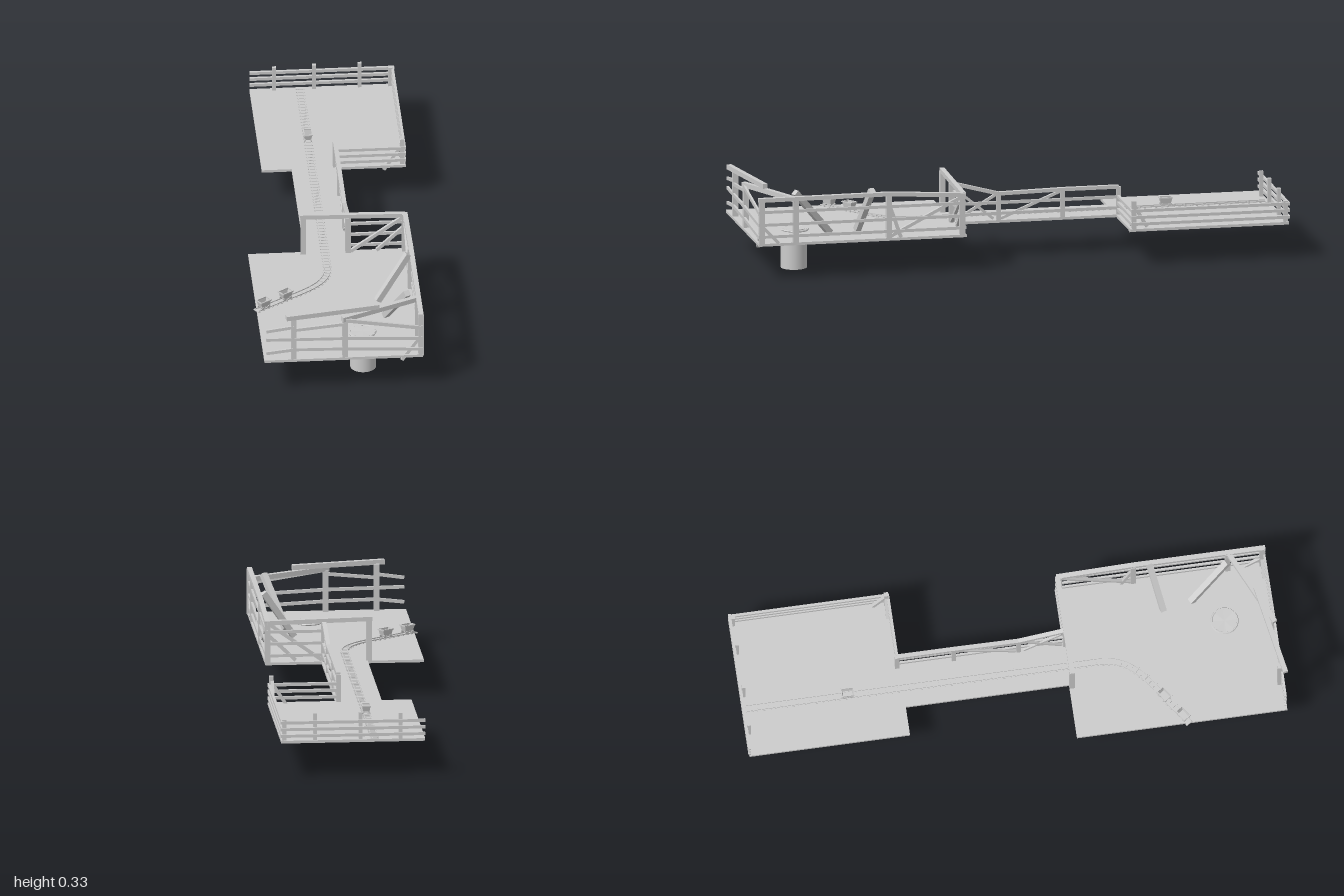
import * as THREE from 'three';

const material = new THREE.MeshStandardMaterial({ color: 0xcccccc, flatShading: true, side: THREE.DoubleSide });
const smooth = new THREE.MeshStandardMaterial({ color: 0xcccccc });
const V = (p) => new THREE.Vector3(...p);

function add(parent, name, geometry, position = [0, 0, 0], mat = material) {
  const mesh = new THREE.Mesh(geometry, mat);
  mesh.name = name;
  mesh.position.set(...position);
  parent.add(mesh);
  return mesh;
}

// Square timber between two points
function beam(parent, name, a, b, w = 0.012, h = w) {
  const p = V(a), q = V(b);
  const mesh = add(parent, name, new THREE.BoxGeometry(w, h, p.distanceTo(q)));
  mesh.position.copy(p).add(q).multiplyScalar(0.5);
  mesh.lookAt(q);
  return mesh;
}

function post(parent, x, z, top, w = 0.02) {
  add(parent, 'post', new THREE.BoxGeometry(w, top - 0.135, w), [x, (top + 0.135) / 2, z]);
}

function group(parent, name) {
  const g = new THREE.Group();
  g.name = name;
  parent.add(g);
  return g;
}

// Flared open tub on four wheels, long axis along z
function mineCart(parent, x, z, turn) {
  const g = group(parent, 'cart');
  g.position.set(x, 0.142, z);
  g.rotation.y = turn;
  const tub = new THREE.BoxGeometry(0.03, 0.022, 0.046);
  const p = tub.attributes.position;
  for (let i = 0; i < p.count; i++) {
    if (p.getY(i) < 0) p.setXYZ(i, p.getX(i) * 0.75, p.getY(i), p.getZ(i) * 0.75);
  }
  const faces = tub.index.array;
  tub.setIndex([...faces.slice(0, 12), ...faces.slice(18)]); // open top
  add(g, 'tub', tub, [0, 0.021, 0]);
  for (const s of [-1, 1]) {
    add(g, 'rim', new THREE.BoxGeometry(0.004, 0.004, 0.05), [s * 0.015, 0.032, 0]);
    add(g, 'rim', new THREE.BoxGeometry(0.034, 0.004, 0.004), [0, 0.032, s * 0.023]);
    add(g, 'chassis', new THREE.BoxGeometry(0.004, 0.005, 0.042), [s * 0.01, 0.009, 0]);
    for (const e of [-1, 1]) {
      add(g, 'wheel', new THREE.CylinderGeometry(0.006, 0.006, 0.004, 12), [s * 0.012, 0.006, e * 0.013])
        .rotation.z = Math.PI / 2;
    }
  }
}

export function createModel() {
  const model = new THREE.Group();
  model.name = 'minePlatform';

  // Decks: [x0, x1, z0, z1]
  const decks = { backDeck: [-0.215, 0.315, -0.995, -0.4], bridgeDeck: [-0.105, 0.065, -0.4, 0.205], frontDeck: [-0.312, 0.272, 0.205, 0.985] };
  for (const [name, [x0, x1, z0, z1]] of Object.entries(decks)) {
    add(model, name, new THREE.BoxGeometry(x1 - x0, 0.01, z1 - z0), [(x0 + x1) / 2, 0.135, (z0 + z1) / 2]);
  }

  // Shaft under the front deck, with a broken round cover
  add(model, 'shaft', new THREE.CylinderGeometry(0.048, 0.048, 0.13, 32), [0.065, 0.065, 0.81], smooth);
  const cover = group(model, 'shaftCover');
  cover.position.set(0.062, 0.143, 0.805);
  add(cover, 'coverRim', new THREE.TorusGeometry(0.048, 0.004, 6, 24)).rotation.x = Math.PI / 2;
  for (let i = 0; i < 8; i++) {
    const wedge = add(cover, 'coverBoard', new THREE.CylinderGeometry(0.046, 0.046, 0.003, 4, 1, false, i * Math.PI / 4, 0.66));
    wedge.position.y = 0.001 + 0.002 * (i % 3);
    wedge.rotation.x = 0.04 * ((i % 3) - 1);
  }

  // Front fence with sagging rails
  const front = group(model, 'frontFence');
  for (const [x, top] of [[-0.203, 0.315], [-0.014, 0.295], [0.265, 0.305]]) post(front, x, 0.973, top);
  const xs = [-0.305, -0.2, -0.014, 0.268];
  const sag = [[0.26, 0.275], [0.225, 0.223, 0.22, 0.207], [0.168, 0.18, 0.176, 0.162]];
  for (const ys of sag) {
    for (let i = 0; i + 1 < ys.length; i++) beam(front, 'rail', [xs[i], ys[i], 0.98], [xs[i + 1], ys[i + 1], 0.98], 0.008, 0.012);
  }
  beam(front, 'rail', [-0.2, 0.262, 0.98], [-0.014, 0.28, 0.98], 0.008, 0.012);
  beam(front, 'rail', [-0.014, 0.295, 0.98], [0.265, 0.252, 0.98], 0.008, 0.014);
  beam(front, 'looseTopBeam', [-0.232, 0.32, 0.99], [0.113, 0.32, 0.928], 0.018);
  beam(front, 'looseTopBeam', [-0.025, 0.3, 0.98], [0.27, 0.3, 0.845], 0.018);
  beam(front, 'brace', [0.195, 0.115, 0.972], [0.265, 0.215, 0.972]);
  beam(front, 'brace', [0.265, 0.205, 0.972], [0.265, 0.14, 0.91]);

  // Side fence of the front deck
  const side = group(model, 'frontSideFence');
  for (const [z, top] of [[0.845, 0.305], [0.495, 0.305], [0.22, 0.295]]) post(side, 0.263, z, top);
  beam(side, 'topRail', [0.265, 0.303, 0.985], [0.265, 0.305, 0.49], 0.018, 0.015);
  beam(side, 'topRail', [0.265, 0.305, 0.5], [0.265, 0.288, 0.21], 0.018, 0.015);
  for (const y of [0.165, 0.21, 0.258]) beam(side, 'rail', [0.268, y, 0.985], [0.268, y, 0.21], 0.008, 0.011);
  beam(side, 'brace', [0.262, 0.145, 0.49], [0.262, 0.28, 0.225]);
  beam(side, 'brace', [0.262, 0.255, 0.49], [0.262, 0.14, 0.45]);

  // Leaning fallen timbers
  beam(model, 'leaningTimber', [0.155, 0.145, 0.695], [0.225, 0.318, 0.84], 0.022);
  beam(model, 'leaningTimber', [0.135, 0.145, 0.588], [0.25, 0.318, 0.555], 0.022);

  // Gateway and fence between front deck and bridge
  const gate = group(model, 'gateway');
  post(gate, -0.11, 0.215, 0.295);
  post(gate, 0.055, 0.215, 0.285);
  beam(gate, 'lintel', [-0.122, 0.297, 0.215], [0.265, 0.288, 0.215], 0.018, 0.016);
  for (const y of [0.165, 0.21, 0.255]) beam(gate, 'rail', [0.05, y, 0.21], [0.268, y, 0.21], 0.008, 0.011);
  beam(gate, 'brace', [0.065, 0.145, 0.218], [0.255, 0.28, 0.218]);
  beam(gate, 'brace', [0.16, 0.145, 0.218], [0.255, 0.235, 0.218]);

  // Bridge fence
  const bridge = group(model, 'bridgeFence');
  const run = [[0.215, 0.285], [0.04, 0.238], [-0.2, 0.243], [-0.41, 0.243]];
  for (let i = 0; i < 3; i++) {
    const [za, ya] = run[i], [zb, yb] = run[i + 1];
    post(bridge, 0.055, zb, yb, 0.016);
    beam(bridge, 'topRail', [0.055, ya, za], [0.055, yb, zb], 0.016, 0.013);
    for (const y of [0.165, 0.205]) beam(bridge, 'rail', [0.059, y, za], [0.059, y, zb], 0.008, 0.011);
  }
  beam(bridge, 'brace', [0.054, 0.145, 0.2], [0.054, 0.235, 0.05], 0.01);
  beam(bridge, 'brace', [0.054, 0.26, 0.2], [0.054, 0.145, 0.06], 0.01);
  beam(bridge, 'brace', [0.054, 0.145, 0.03], [0.054, 0.235, -0.19], 0.01);

  // Low fences of the back deck
  const back = group(model, 'backDeckFence');
  for (const x of [-0.125, 0.022, 0.19]) post(back, x, -0.984, x < 0 ? 0.235 : 0.24, 0.014);
  post(back, 0.303, -0.984, 0.218, 0.016);
  post(back, 0.303, -0.415, 0.243, 0.016);
  for (const y of [0.158, 0.183, 0.208]) {
    beam(back, 'backRail', [-0.215, y, -0.994], [0.318, y, -0.994], 0.01, 0.011);
    beam(back, 'sideRail', [0.311, y, -0.998], [0.311, y, -0.405], 0.01, 0.011);
    beam(back, 'frontRail', [0.05, y, -0.408], [0.316, y, -0.408], 0.01, 0.011);
  }
  beam(back, 'brace', [0.235, 0.115, -0.417], [0.3, 0.215, -0.417]);
  beam(back, 'brace', [0.3, 0.225, -0.417], [0.3, 0.145, -0.465]);

  // Railway: two rails and sleepers following one path
  const track = group(model, 'railway');
  const path = new THREE.CurvePath();
  path.add(new THREE.LineCurve3(V([-0.03, 0.142, -0.98]), V([-0.03, 0.142, 0.32])));
  path.add(new THREE.CubicBezierCurve3(V([-0.03, 0.142, 0.32]), V([-0.03, 0.142, 0.43]), V([-0.09, 0.142, 0.475]), V([-0.2, 0.142, 0.545])));
  path.add(new THREE.LineCurve3(V([-0.2, 0.142, 0.545]), V([-0.312, 0.142, 0.622])));
  const count = 80, last = [null, null];
  for (let i = 0; i <= count; i++) {
    const p = path.getPointAt(i / count), t = path.getTangentAt(i / count);
    const at = (d, y) => [p.x + t.z * d, y, p.z - t.x * d];
    beam(track, 'sleeper', at(-0.016, 0.141), at(0.016, 0.141), 0.008, 0.003);
    [-0.011, 0.011].forEach((d, k) => {
      const q = at(d, 0.144);
      if (last[k]) beam(track, 'rail', last[k], q, 0.003, 0.004);
      last[k] = q;
    });
  }

  // Carts on the track
  mineCart(model, -0.03, -0.605, 0);
  mineCart(model, -0.2, 0.545, -0.97);
  mineCart(model, -0.285, 0.603, -0.97);

  return model;
}
